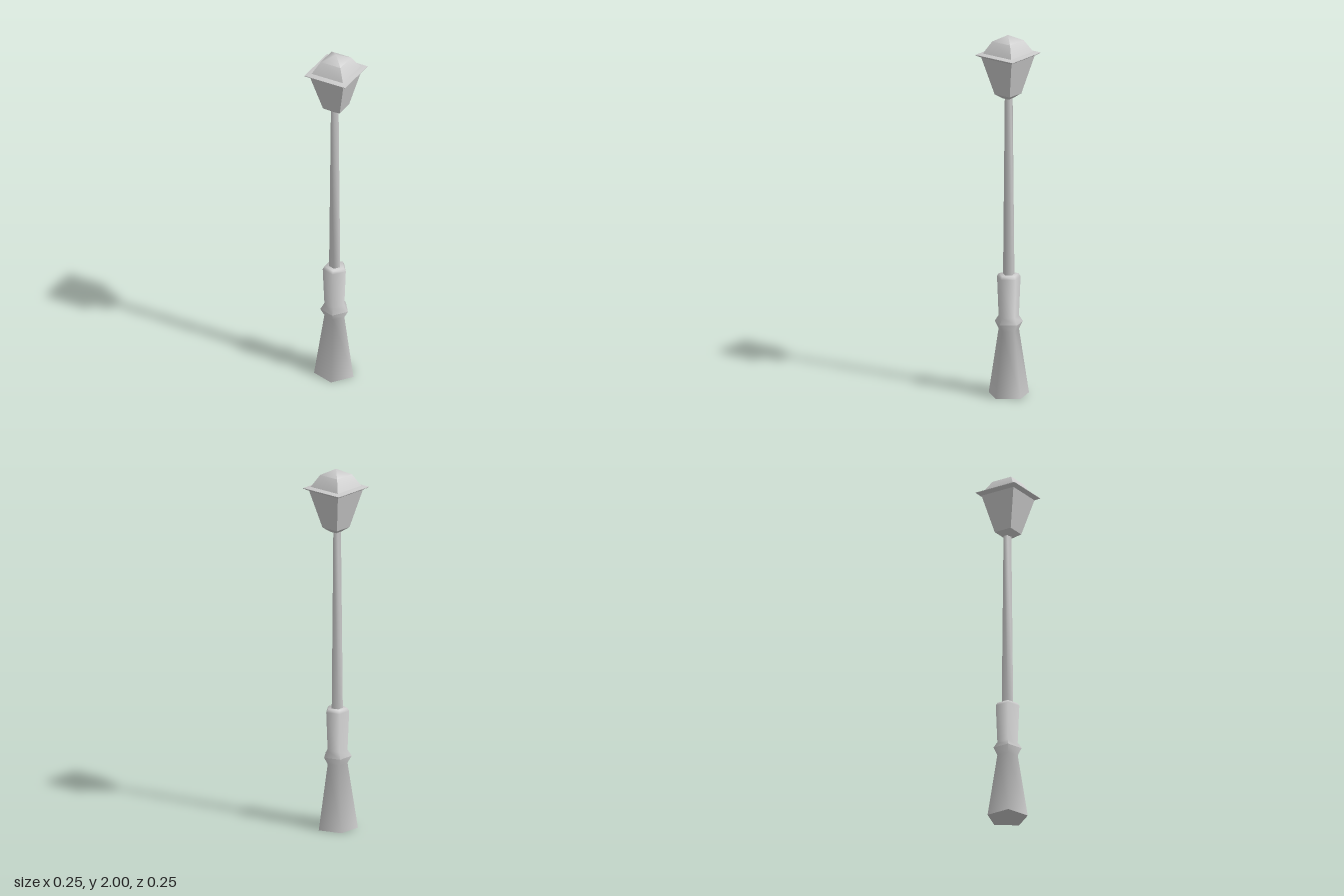
import * as THREE from 'three';
import { toCreasedNormals } from 'three/addons/utils/BufferGeometryUtils.js';

const material = new THREE.MeshStandardMaterial({ color: 0xcccccc });

// Turns a [radius, y] profile (bottom to top) into a prism-like part.
function turned(name, profile, sides, phase, crease) {
  const points = profile.map(([r, y]) => new THREE.Vector2(r, y));
  const lathe = new THREE.LatheGeometry(points, sides, phase);
  const mesh = new THREE.Mesh(toCreasedNormals(lathe, THREE.MathUtils.degToRad(crease)), material);
  mesh.name = name;
  return mesh;
}

// Five-sided part with one corner towards +x and soft side edges.
const fiveSided = (name, profile) => turned(name, profile, 5, Math.PI / 2, 80);

// Square part: the profile gives half widths.
const square = (name, profile, crease) =>
  turned(name, profile.map(([h, y]) => [h * Math.SQRT2, y]), 4, Math.PI / 4, crease);

export function createModel() {
  const lamp = new THREE.Group();
  lamp.name = 'streetLamp';

  // Post: flared foot with a ring and collar, then a thin tapered pole
  const post = new THREE.Group();
  post.name = 'post';
  post.position.x = -0.006;
  post.add(
    fiveSided('base', [
      [0, 0], [0.1125, 0], [0.057, 0.36], [0.079, 0.4], [0.057, 0.435],
      [0.066, 0.65], [0.056, 0.667], [0, 0.667],
    ]),
    fiveSided('pole', [[0.032, 0.66], [0.022, 1.655]]),
  );

  // Lantern: square funnel, glass body, brim and domed roof
  const lantern = new THREE.Group();
  lantern.name = 'lantern';
  lantern.add(
    square('funnel', [[0, 1.648], [0.02, 1.648], [0.051, 1.673]], 30),
    square('glassBody', [[0.051, 1.673], [0.102, 1.882]], 30),
    square('brim', [[0.102, 1.88], [0.124, 1.893], [0.124, 1.896], [0.0955, 1.902]], 20),
    square('roof', [[0.0955, 1.902], [0.06, 1.967], [0, 2]], 60),
  );

  lamp.add(post, lantern);
  return lamp;
}
